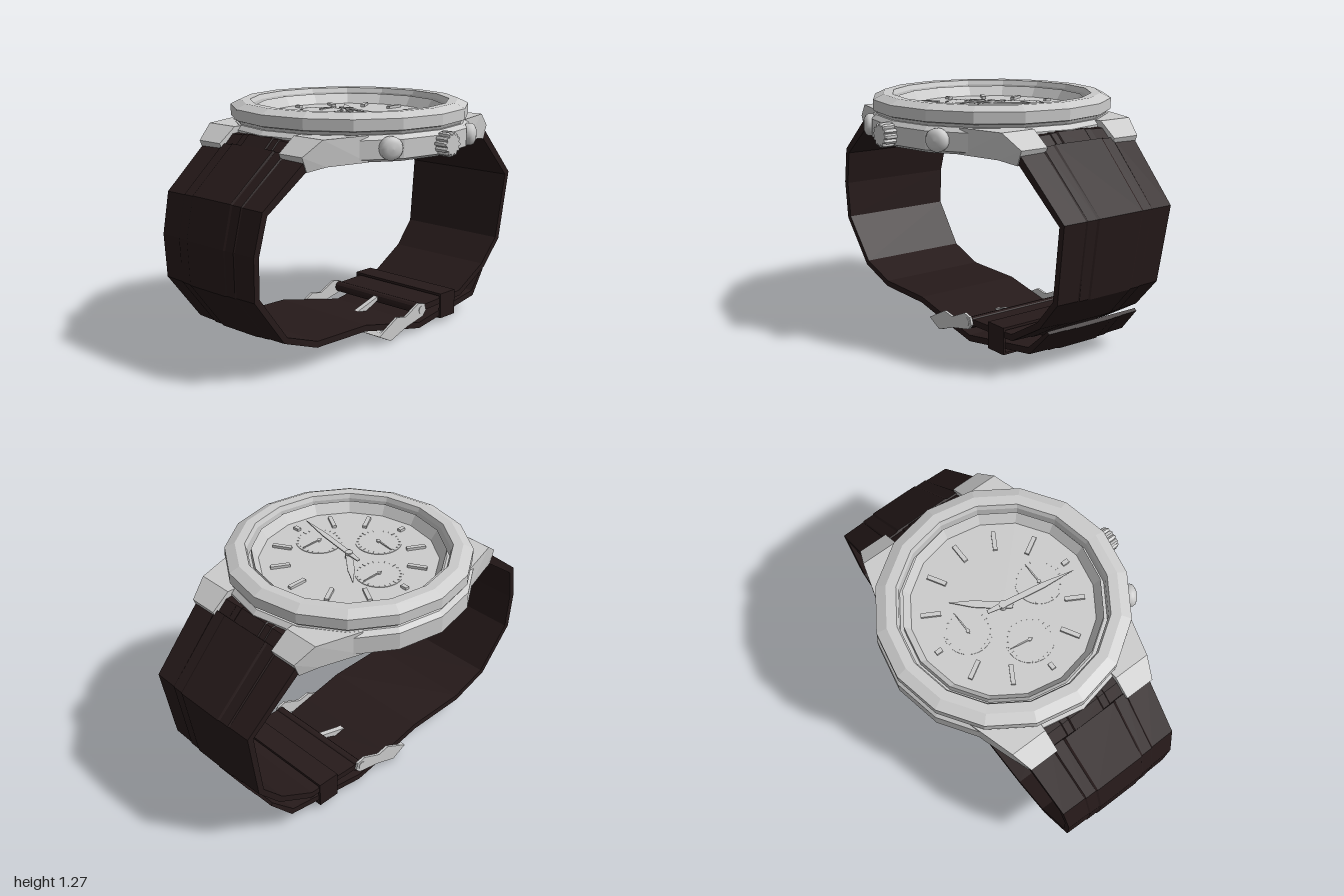
import * as THREE from 'three';

const metal = new THREE.MeshStandardMaterial({ color: 0xcccccc, flatShading: true, side: THREE.DoubleSide });
const smoothMetal = new THREE.MeshStandardMaterial({ color: 0xcccccc });
const leather = new THREE.MeshStandardMaterial({ color: 0x261a1a, flatShading: true, side: THREE.DoubleSide });

function add(parent, name, geometry, material = metal, x = 0, y = 0, z = 0) {
  const mesh = new THREE.Mesh(geometry, material);
  mesh.name = name;
  mesh.position.set(x, y, z);
  parent.add(mesh);
  return mesh;
}

// Skin a list of equal-length rings of [x, y, z] and cap both ends
function loft(rings, flip) {
  const n = rings[0].length, index = [];
  const tri = (a, b, c) => index.push(...(flip ? [a, c, b] : [a, b, c]));
  for (let i = 0; i < rings.length - 1; i++) {
    for (let j = 0; j < n; j++) {
      const a = i * n + j, b = i * n + (j + 1) % n;
      tri(a, b, b + n);
      tri(a, b + n, a + n);
    }
  }
  const e = (rings.length - 1) * n;
  for (let j = 1; j < n - 1; j++) {
    tri(0, j + 1, j);
    tri(e, e + j, e + j + 1);
  }
  const g = new THREE.BufferGeometry();
  g.setAttribute('position', new THREE.Float32BufferAttribute(rings.flat(2), 3));
  g.setIndex(index);
  g.computeVertexNormals();
  return g;
}

// Strap section: x as a share of the half width, offset across the thickness
const strapSection = [[-1, -0.021], [1, -0.021], [1, 0.012], [0.62, 0.015], [0.6, 0.019], [0.43, 0.019],
  [0.4, 0.024], [-0.4, 0.024], [-0.43, 0.019], [-0.6, 0.019], [-0.62, 0.015], [-1, 0.012]];

// Path points are [z, y, half width, thickness factor]; side +1 runs off the front, -1 off the back
function strap(path, side) {
  const rings = path.map(([z, y, w, k = 1], i) => {
    const p = path[Math.max(i - 1, 0)], q = path[Math.min(i + 1, path.length - 1)];
    const t = new THREE.Vector2(q[0] - p[0], q[1] - p[1]).normalize();
    return strapSection.map(([u, d]) => [u * w, y + side * t.x * d * k, z - side * t.y * d * k]);
  });
  return loft(rings, side < 0);
}

// Flat shape drawn in x/z (given as x, -z) and laid horizontally
function flatShape(points, depth) {
  const s = new THREE.Shape(points.map(p => new THREE.Vector2(...p)));
  return new THREE.ExtrudeGeometry(s, { depth, bevelEnabled: false }).rotateX(-Math.PI / 2);
}

// Pointed hand along +x with a short tail
const handShape = (length, tail, w) =>
  flatShape([[-tail, -w * 0.3], [0, -w * 0.5], [length * 0.55, -w * 0.5], [length, 0], [length * 0.55, w * 0.5], [0, w * 0.5], [-tail, w * 0.3]], 0.006);

// Side profile given as [z, y], extruded across x
function sideProfile(points, width) {
  const s = new THREE.Shape(points.map(([z, y]) => new THREE.Vector2(-z, y)));
  return new THREE.ExtrudeGeometry(s, { depth: width, bevelEnabled: false }).translate(0, 0, -width / 2).rotateY(Math.PI / 2);
}

const lathe = (points, sides) => new THREE.LatheGeometry(points.map(p => new THREE.Vector2(...p)), sides);
const rod = (r, length, sides) => new THREE.CylinderGeometry(r, r, length, sides).rotateZ(Math.PI / 2);

function buildCase(watch) {
  add(watch, 'caseBody', lathe([[0, 1.038], [0.595, 1.038], [0.637, 1.057], [0.637, 1.15], [0.615, 1.172], [0, 1.172]], 16));
  add(watch, 'caseBack', lathe([[0, 1.034], [0.56, 1.034], [0.565, 1.04]], 48));
  add(watch, 'bezel', lathe([[0.6, 1.165], [0.612, 1.188], [0.628, 1.193], [0.628, 1.25], [0.575, 1.276], [0.525, 1.274],
    [0.515, 1.25], [0.513, 1.2], [0.496, 1.2], [0.494, 1.245], [0.455, 1.185]], 16));

  // Four tapering lugs
  for (const sx of [1, -1]) for (const sz of [1, -1]) {
    const ring = (x0, x1, y0, y1, z0, z1) => [[x0, y0, z0], [x1, y0, z0], [x1, y1, z1], [x0, y1, z1]]
      .map(([x, y, z]) => [x * sx, y, z * sz]);
    add(watch, 'lug', loft([
      ring(0.2, 0.48, 1.042, 1.172, 0.38, 0.38),
      ring(0.215, 0.41, 1.038, 1.17, 0.59, 0.615),
      ring(0.215, 0.372, 1.02, 1.095, 0.685, 0.715),
    ], sx * sz < 0));
  }
}

function buildControls(watch) {
  // Fluted crown
  const crown = new THREE.Group();
  crown.name = 'crown';
  watch.add(crown);
  add(crown, 'crownStem', rod(0.04, 0.1, 16), metal, 0.6, 1.107);
  const outline = [];
  for (let i = 0; i < 48; i++) {
    const a = i / 48 * Math.PI * 2, r = 0.052 + 0.005 * Math.sign(Math.cos(a * 12 + 0.1));
    outline.push(new THREE.Vector2(Math.cos(a) * r, Math.sin(a) * r));
  }
  const knob = new THREE.ExtrudeGeometry(new THREE.Shape(outline), {
    depth: 0.048, bevelThickness: 0.013, bevelSize: 0.006, bevelSegments: 1 });
  add(crown, 'crownKnob', knob.rotateY(Math.PI / 2), metal, 0.634, 1.107);

  // Two domed pushers set radially beside the crown
  for (const s of [1, -1]) {
    const pusher = new THREE.Group();
    pusher.name = 'pusher';
    pusher.rotation.y = s * 0.5;
    watch.add(pusher);
    add(pusher, 'pusherStem', rod(0.035, 0.1, 16), metal, 0.59, 1.11);
    add(pusher, 'pusherCap', lathe([[0, 0], [0.05, 0], [0.058, 0.006], [0.058, 0.03], [0.05, 0.045], [0.03, 0.055], [0, 0.058]], 24)
      .rotateZ(-Math.PI / 2), smoothMetal, 0.617, 1.11);
  }
}

function buildDial(watch) {
  const top = 1.192;
  add(watch, 'dial', new THREE.CylinderGeometry(0.463, 0.463, 0.02, 32), metal, 0, top - 0.01);

  // Hour markers, shortened beside the subdials
  for (let i = 0; i < 12; i++) {
    const short = i === 0 || i === 6 || i === 9;
    const length = short ? 0.035 : 0.1, a = i * Math.PI / 6;
    const r = 0.405 - length / 2;
    const marker = add(watch, 'hourMarker', new THREE.BoxGeometry(length, 0.014, 0.022), metal,
      Math.cos(a) * r, top + 0.007, -Math.sin(a) * r);
    marker.rotation.y = a;
  }

  // Three subdials with tick rings and small hands
  for (const [x, z, turn] of [[-0.213, 0, Math.PI / 2], [0.222, 0, Math.PI / 2], [0, 0.215, Math.PI - 0.15]]) {
    const sub = new THREE.Group();
    sub.name = 'subdial';
    sub.position.set(x, top, z);
    watch.add(sub);
    add(sub, 'subdialPlate', new THREE.CylinderGeometry(0.12, 0.12, 0.003, 32), metal, 0, 0.0015);
    for (let i = 0; i < 24; i++) {
      const a = i * Math.PI / 12;
      const tick = add(sub, 'subdialTick', new THREE.BoxGeometry(i % 6 ? 0.01 : 0.022, 0.002, 0.003), metal,
        Math.cos(a) * 0.108, 0.004, Math.sin(a) * 0.108);
      tick.rotation.y = -a;
    }
    add(sub, 'subdialHub', new THREE.CylinderGeometry(0.01, 0.01, 0.012, 12), metal, 0, 0.006);
    add(sub, 'subdialHand', handShape(0.11, 0.015, 0.007), metal, 0, 0.006).rotation.y = turn;
  }

  // Main hands
  add(watch, 'hourHand', handShape(0.265, 0.05, 0.036), metal, 0, top + 0.016).rotation.y = Math.PI - 0.7;
  add(watch, 'minuteHand', handShape(0.392, 0.085, 0.03), metal, 0, top + 0.025).rotation.y = -0.165;
  add(watch, 'handHub', new THREE.CylinderGeometry(0.02, 0.02, 0.036, 16), metal, 0, top + 0.018);
}

function buildStrap(watch) {
  // Long front half, wrapping under to its free end
  add(watch, 'frontStrap', strap([[0.668, 1.072, 0.37, 1.45], [0.933, 0.862, 0.347, 1.1], [0.979, 0.662, 0.335], [0.972, 0.448, 0.326],
    [0.785, 0.205, 0.318], [0.568, 0.127, 0.315], [0.214, 0.121, 0.315], [-0.02, 0.07, 0.315], [-0.225, 0.026, 0.312],
    [-0.708, 0.103, 0.31], [-0.826, 0.225, 0.29, 0.5]], 1), leather);
  // Short back half, ending at the buckle pin
  add(watch, 'backStrap', strap([[-0.672, 1.078, 0.37, 1.3], [-0.974, 0.786, 0.342, 1.1], [-0.917, 0.4, 0.326],
    [-0.79, 0.255, 0.32], [-0.58, 0.133, 0.315], [-0.25, 0.121, 0.315]], -1), leather);
  // Narrow ends tucked between the lugs
  for (const s of [1, -1]) {
    add(watch, 'strapEnd', strap([[0.54 * s, 1.13, 0.213], [0.625 * s, 1.125, 0.213], [0.71 * s, 1.045, 0.213]], s), leather);
  }
  // Keeper loop
  const loop = new THREE.Shape([[-0.322, 0.03], [0.322, 0.03], [0.322, 0.172], [-0.322, 0.172]].map(p => new THREE.Vector2(...p)));
  loop.holes.push(new THREE.Path([[-0.31, 0.042], [-0.31, 0.158], [0.31, 0.158], [0.31, 0.042]].map(p => new THREE.Vector2(...p))));
  add(watch, 'keeper', new THREE.ExtrudeGeometry(loop, { depth: 0.125, bevelEnabled: false }), leather, 0, 0, -0.523);
}

function buildBuckle(watch) {
  const buckle = new THREE.Group();
  buckle.name = 'buckle';
  watch.add(buckle);
  const arm = [[0.12, 0.055], [0.03, 0.01], [-0.1, 0.056], [-0.235, 0.085], [-0.262, 0.115], [-0.25, 0.152], [-0.2, 0.165],
    [-0.09, 0.115], [-0.02, 0.128]];
  for (const s of [1, -1]) {
    add(buckle, 'buckleArm', sideProfile(arm, 0.014), metal, s * 0.321);
    add(buckle, 'pinHead', rod(0.022, 0.01, 12), metal, s * 0.326, 0.124, -0.222);
  }
  add(buckle, 'buckleBar', sideProfile([[0.12, 0.055], [0.03, 0.01], [-0.01, 0.022], [0.03, 0.05], [0.09, 0.066]], 0.642));
  add(buckle, 'bucklePin', rod(0.03, 0.63, 12), leather, 0, 0.121, -0.24);
  // Prong through the strap
  add(buckle, 'prong', sideProfile([[0.05, 0.055], [0.05, 0.04], [-0.03, 0.032], [-0.22, 0.115], [-0.22, 0.135]], 0.03));
}

export function createModel() {
  const model = new THREE.Group();
  model.name = 'wristwatch';
  const watch = new THREE.Group();
  watch.name = 'watch';
  watch.position.x = -0.03;
  model.add(watch);
  buildCase(watch);
  buildControls(watch);
  buildDial(watch);
  buildStrap(watch);
  buildBuckle(watch);
  return model;
}
